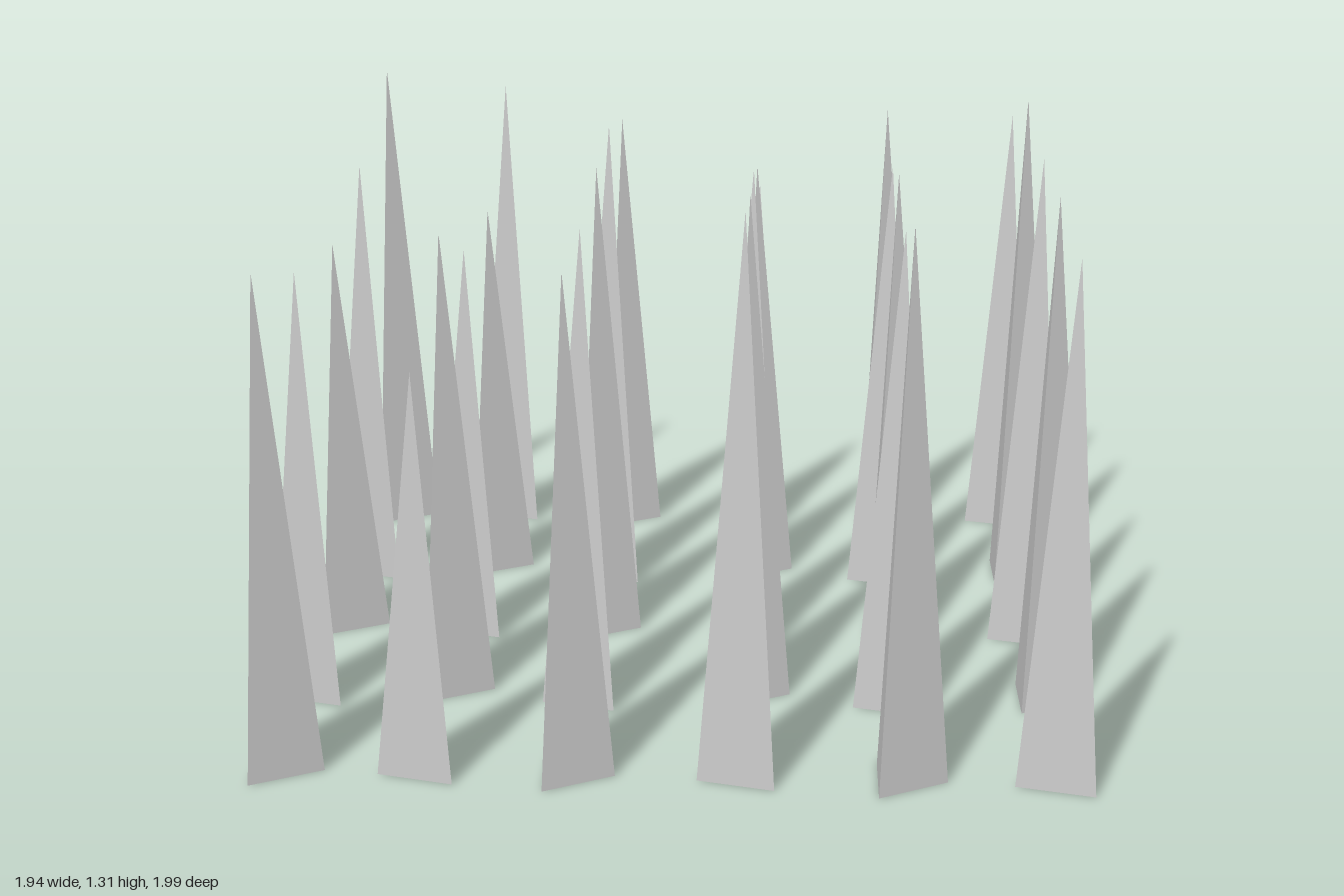
import * as THREE from 'three';

const columnX = [-0.875, -0.551, -0.225, 0.16, 0.513, 0.862];
// depth of each row for the two alternating orientations
const rowZ = [[-0.865, -0.898], [-0.446, -0.393], [0.013, 0.024], [0.43, 0.476], [0.908, 0.897]];
// spike heights, row by row from back to front
const heights = [
  [1.31, 1.26, 1.17, 0.98, 1.2, 1.18],
  [1.13, 1.0, 1.235, 1.12, 1.13, 1.3],
  [1.01, 1.0, 1.2, 1.2, 1.19, 1.23],
  [1.05, 1.13, 1.15, 1.22, 1.15, 1.22],
  [1.15, 0.93, 1.15, 1.28, 1.255, 1.185],
];
// forward lean of the tip in each column
const lean = [0.041, 0.026, 0.004, -0.006, -0.006, -0.011];

const material = new THREE.MeshStandardMaterial({ color: 0xcccccc, flatShading: true });

// closed three-sided spike standing on y = 0, tip moved in z
function spikeGeometry(height, turn, tipShift) {
  const geometry = new THREE.ConeGeometry(0.103, height, 3);
  geometry.rotateY(turn).translate(0, height / 2, 0);
  const p = geometry.attributes.position;
  for (let i = 0; i < p.count; i++) p.setZ(i, p.getZ(i) + tipShift * p.getY(i) / height);
  geometry.computeVertexNormals();
  return geometry;
}

export function createModel() {
  const group = new THREE.Group();
  group.name = 'spikeField';
  heights.forEach((row, r) => {
    const rowGroup = new THREE.Group();
    rowGroup.name = `spikeRow${r + 1}`;
    row.forEach((height, c) => {
      // neighbours alternate between two orientations
      const odd = (r + c) % 2;
      const spike = new THREE.Mesh(spikeGeometry(height, odd ? Math.PI / 4 : Math.PI / 2, lean[c]), material);
      spike.name = `spike${c + 1}`;
      spike.position.set(columnX[c], 0, rowZ[r][odd]);
      rowGroup.add(spike);
    });
    group.add(rowGroup);
  });
  return group;
}
